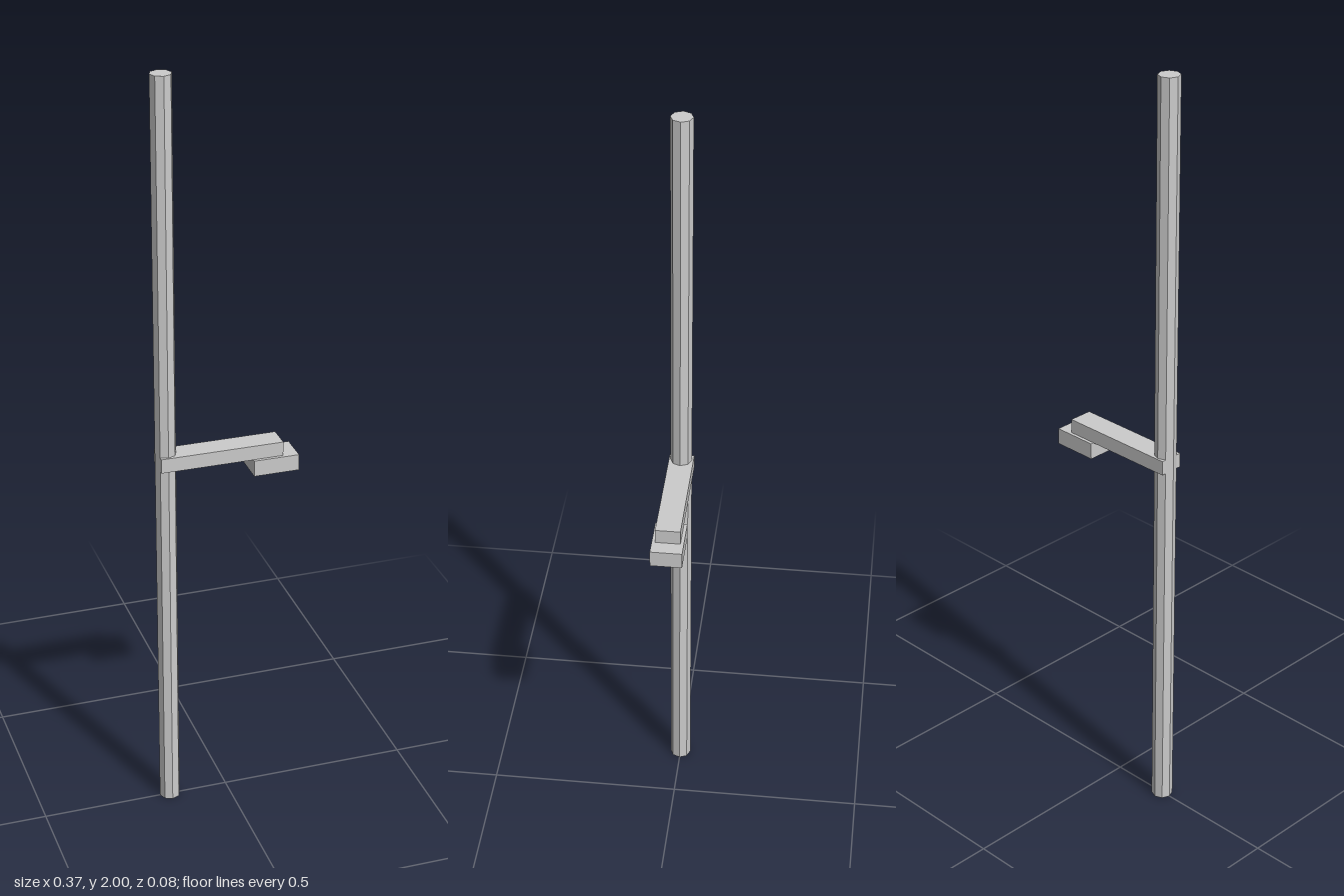
import * as THREE from 'three';

export function createModel() {
  const model = new THREE.Group();
  model.name = 'streetLight';
  const material = new THREE.MeshStandardMaterial({ color: 0xcccccc, flatShading: true });

  function addPart(name, geometry, x, y, z = 0) {
    const mesh = new THREE.Mesh(geometry, material);
    mesh.name = name;
    mesh.position.set(x, y, z);
    model.add(mesh);
  }

  // Eight-sided pole, full height
  addPart('pole', new THREE.CylinderGeometry(0.0275, 0.0275, 2, 8), -0.157, 1);

  // Bracket wrapping the pole and reaching sideways
  addPart('arm', new THREE.BoxGeometry(0.32, 0.038, 0.063), -0.017, 1.003);

  // Lamp box hung under the end of the arm
  addPart('lampHousing', new THREE.BoxGeometry(0.119, 0.043, 0.08), 0.123, 0.963);

  return model;
}
